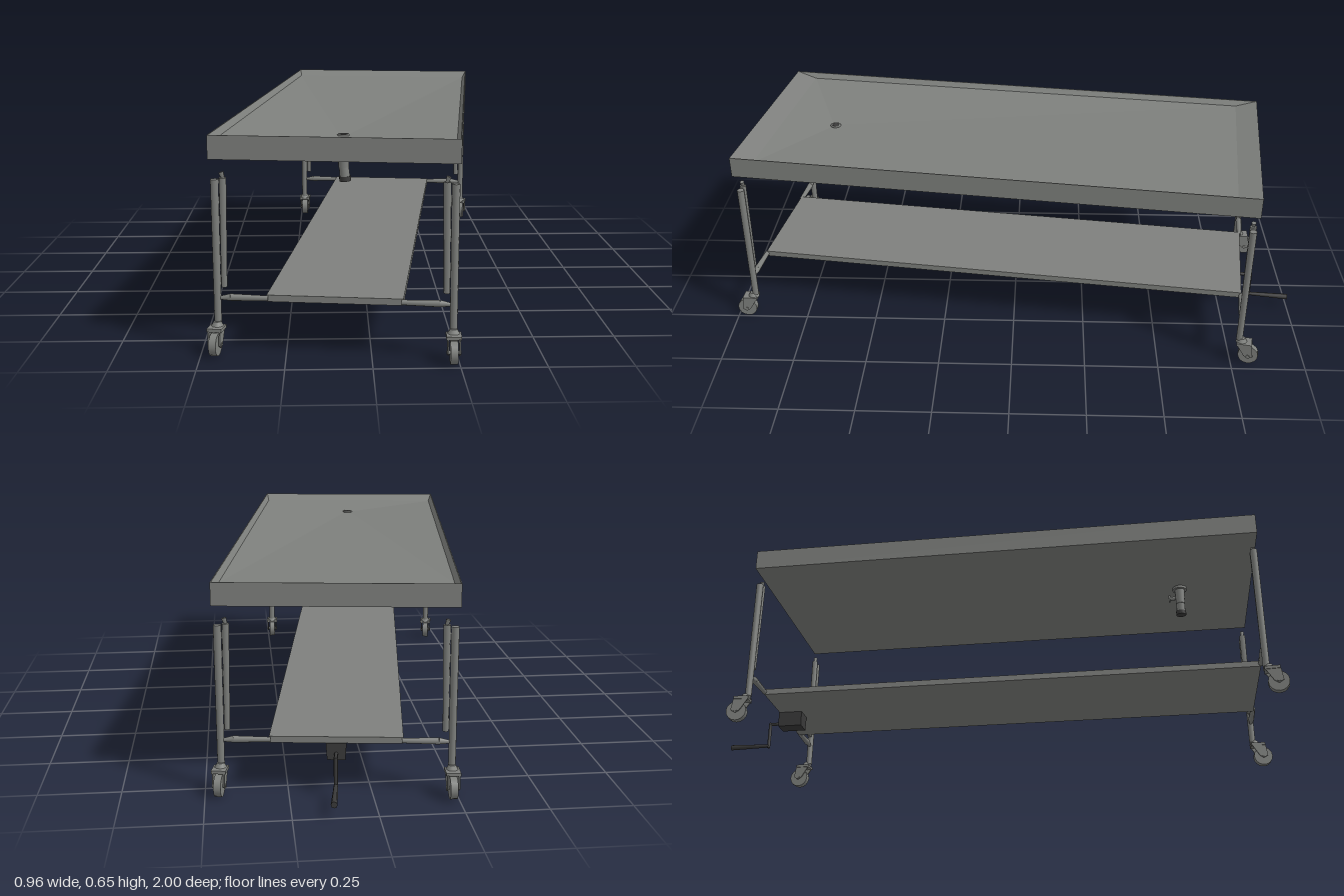
import * as THREE from 'three';

const steel = new THREE.MeshStandardMaterial({ color: 0x7e807d });
steel.name = 'steel grey';
const dark = new THREE.MeshStandardMaterial({ color: 0x3a3a3a });
dark.name = 'dark iron';

function add(parent, name, geo, mat, x = 0, y = 0, z = 0) {
  const m = new THREE.Mesh(geo, mat);
  m.name = name;
  m.position.set(x, y, z);
  parent.add(m);
  return m;
}

// round rod between two points, r0 at the start and r1 at the end
function rod(parent, name, a, b, r0, r1, mat, sides = 10) {
  const p = new THREE.Vector3(...a), q = new THREE.Vector3(...b);
  const d = q.clone().sub(p);
  const m = add(parent, name, new THREE.CylinderGeometry(r1, r0, d.length(), sides), mat);
  m.position.copy(p).add(q).multiplyScalar(0.5);
  m.quaternion.setFromUnitVectors(new THREE.Vector3(0, 1, 0), d.normalize());
  return m;
}

// closed tray from rectangular rings: [half width, y, half length, centre z]
function trayGeometry(rings) {
  const corners = [[-1, -1], [-1, 1], [1, 1], [1, -1]];
  const pos = [];
  const pt = (r, i) => {
    const [sx, sz] = corners[i % 4];
    return [sx * r[0], r[1], r[3] + sz * r[2]];
  };
  for (let k = 0; k + 1 < rings.length; k++) {
    for (let i = 0; i < 4; i++) {
      const a = pt(rings[k], i), b = pt(rings[k], i + 1);
      const c = pt(rings[k + 1], i + 1), d = pt(rings[k + 1], i);
      pos.push(...a, ...b, ...c, ...a, ...c, ...d);
    }
  }
  const g = new THREE.BufferGeometry();
  g.setAttribute('position', new THREE.Float32BufferAttribute(pos, 3));
  g.computeVertexNormals();
  return g;
}

// swivel caster, trailing toward +z from the leg axis
function caster() {
  const g = new THREE.Group();
  g.name = 'caster';
  add(g, 'casterStem', new THREE.CylinderGeometry(0.011, 0.02, 0.016, 10), steel, 0, 0.088, 0.008);
  add(g, 'casterPlate', new THREE.BoxGeometry(0.044, 0.01, 0.05), steel, 0, 0.078, 0.018);
  // fork cheeks, sloping back to the axle
  const s = new THREE.Shape([[-0.006, 0.076], [0.044, 0.076], [0.05, 0.034], [0.034, 0.024], [0.02, 0.034]]
    .map(([x, y]) => new THREE.Vector2(x, y)));
  for (const side of [-1, 1]) {
    const cheek = add(g, 'casterFork', new THREE.ExtrudeGeometry(s, { depth: 0.004, bevelEnabled: false }),
      steel, side * 0.017 - 0.002, 0, 0);
    cheek.rotation.y = -Math.PI / 2;
    cheek.position.x += 0.002 + 0.002;
  }
  const wheel = add(g, 'casterWheel', new THREE.CylinderGeometry(0.034, 0.034, 0.022, 16), steel, 0, 0.034, 0.034);
  wheel.rotation.z = Math.PI / 2;
  const axle = add(g, 'casterAxle', new THREE.CylinderGeometry(0.006, 0.006, 0.042, 8), steel, 0, 0.034, 0.034);
  axle.rotation.z = Math.PI / 2;
  return g;
}

export function createModel() {
  const root = new THREE.Group();
  root.name = 'wheeledTable';
  // the table stands turned a little about the vertical
  const table = new THREE.Group();
  table.name = 'table';
  table.position.z = 0.035;
  table.rotation.y = -0.1255;
  root.add(table);

  // shallow tray top, floor falling to the drain
  add(table, 'trayTop', trayGeometry([
    [0, 0.58, 0, 0],
    [0.36, 0.58, 0.877, 0],
    [0.36, 0.65, 0.877, 0],
    [0.357, 0.65, 0.874, 0],
    [0.345, 0.632, 0.802, 0],
    [0.012, 0.612, 0.012, 0.62],
    [0, 0.612, 0, 0.62],
  ]), steel);

  // drain with outlet pipe and valve lever
  const drain = new THREE.Group();
  drain.name = 'drain';
  drain.position.z = 0.62;
  table.add(drain);
  add(drain, 'drainRing', new THREE.TorusGeometry(0.015, 0.004, 6, 14), steel, 0, 0.614, 0).rotation.x = Math.PI / 2;
  add(drain, 'drainPlug', new THREE.CylinderGeometry(0.012, 0.012, 0.006, 12), dark, 0, 0.614, 0);
  add(drain, 'drainFlange', new THREE.CylinderGeometry(0.026, 0.026, 0.01, 14), steel, 0, 0.576, 0);
  rod(drain, 'drainPipe', [0, 0.575, 0], [0, 0.515, 0], 0.018, 0.016, steel, 12);
  rod(drain, 'drainOutlet', [0, 0.525, 0], [0.004, 0.485, 0], 0.015, 0.016, steel, 12);
  rod(drain, 'drainOutletEnd', [0.004, 0.487, 0], [0.005, 0.472, 0], 0.018, 0.018, dark, 12);
  rod(drain, 'valveStem', [0.008, 0.545, -0.01], [0.012, 0.545, -0.036], 0.007, 0.007, steel, 8);
  add(drain, 'valveLever', new THREE.BoxGeometry(0.012, 0.024, 0.006), steel, 0.012, 0.545, -0.038);

  // lower shelf
  add(table, 'shelf', new THREE.BoxGeometry(0.4, 0.02, 1.72), steel, 0, 0.168, 0);

  for (const sx of [-1, 1]) {
    for (const sz of [-1, 1]) {
      const x = sx * 0.345, z = sz * 0.86;
      // upright with inner brace and hook
      rod(table, 'leg', [x, 0.09, z], [x, 0.52, z], 0.011, 0.012, steel, 12);
      rod(table, 'legBrace', [x - sx * 0.021, 0.2, z], [x - sx * 0.024, 0.525, z], 0.009, 0.011, steel, 8);
      rod(table, 'legHook', [x - sx * 0.026, 0.522, z], [x - sx * 0.02, 0.541, z], 0.005, 0.008, steel, 6);
      // shelf bracket: thin at the leg, swelling, then narrowing to the board
      rod(table, 'shelfBracketTip', [x, 0.165, z], [x - sx * 0.04, 0.168, z], 0.004, 0.011, steel, 8);
      rod(table, 'shelfBracket', [x - sx * 0.04, 0.168, z], [sx * 0.195, 0.168, z], 0.011, 0.008, steel, 8);
      const c = caster();
      c.position.set(x, 0, z);
      if (sz < 0) c.rotation.y = Math.PI;
      c.rotation.y += sx * sz * 0.08;
      table.add(c);
    }
  }

  // gearbox and hand crank under the back end
  const crank = new THREE.Group();
  crank.name = 'crank';
  table.add(crank);
  const box = new THREE.BoxGeometry(0.062, 0.052, 0.085);
  const p = box.attributes.position;
  for (let i = 0; i < p.count; i++) if (p.getY(i) < 0) p.setX(i, p.getX(i) * 0.88);
  box.computeVertexNormals();
  add(crank, 'gearbox', box, dark, 0, 0.132, -0.82);
  rod(crank, 'crankShaft', [0, 0.125, -0.86], [0, 0.125, -0.905], 0.006, 0.006, dark, 8);
  rod(crank, 'crankArm', [0, 0.13, -0.902], [0, 0.034, -0.902], 0.006, 0.006, dark, 8);
  rod(crank, 'crankHandle', [0, 0.041, -0.9], [0, 0.041, -1.042], 0.006, 0.01, dark, 8);

  return root;
}
